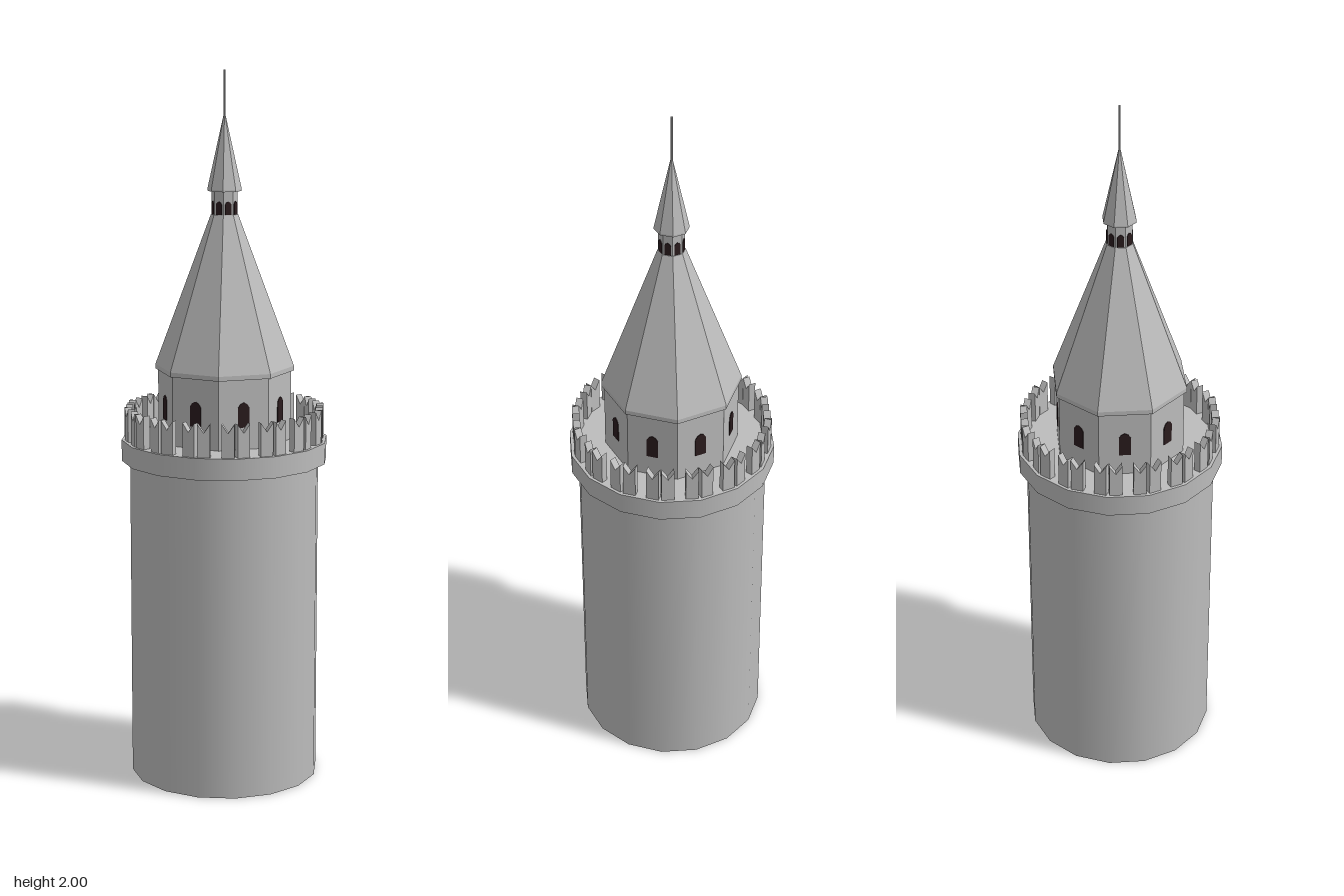
import * as THREE from 'three';

const stone = new THREE.MeshStandardMaterial({ color: 0xbcbcbc, side: THREE.DoubleSide });
stone.name = 'stone';
const dark = new THREE.MeshStandardMaterial({ color: 0x2a1b1d });
dark.name = 'dark opening';

// Regular prism or frustum given by flat-to-centre radii, with a flat side facing +z
function prism(name, sides, top, bottom, y0, y1, { flat = true, open = false } = {}) {
  const k = 1 / Math.cos(Math.PI / sides);
  let geo = new THREE.CylinderGeometry(top * k, bottom * k, y1 - y0, sides, 1, open, Math.PI / sides);
  if (flat) {
    geo = geo.toNonIndexed();
    geo.computeVertexNormals();
  }
  geo.translate(0, (y0 + y1) / 2, 0);
  const mesh = new THREE.Mesh(geo, stone);
  mesh.name = name;
  return mesh;
}

function extrude(points, depth) {
  const shape = new THREE.Shape(points.map(([x, y]) => new THREE.Vector2(x, y)));
  return new THREE.ExtrudeGeometry(shape, { depth, bevelEnabled: false });
}

// Copies of a geometry around the tower, one per side at each sideways offset
function around(name, geo, material, sides, radius, y, offsets = [0]) {
  const group = new THREE.Group();
  group.name = name + 's';
  for (let i = 0; i < sides; i++) {
    const side = new THREE.Group();
    side.name = name + 'Side';
    side.rotation.y = (i / sides) * Math.PI * 2;
    for (const x of offsets) {
      const mesh = new THREE.Mesh(geo, material);
      mesh.name = name;
      mesh.position.set(x, y, radius);
      side.add(mesh);
    }
    group.add(side);
  }
  return group;
}

// Thin plate with a pointed arch
function archPlate(w, h) {
  const a = w / 2;
  return extrude([[-a, 0], [a, 0], [a, h - a * 0.9], [a * 0.6, h - a * 0.3], [0, h],
    [-a * 0.6, h - a * 0.3], [-a, h - a * 0.9]], 0.004);
}

export function createModel() {
  const tower = new THREE.Group();
  tower.name = 'tower';

  // Hollow round shaft and the gallery ring on top of it
  tower.add(prism('shaft', 16, 0.262, 0.262, 0, 0.93, { flat: false, open: true }));
  tower.add(prism('galleryRing', 16, 0.285, 0.285, 0.915, 0.975, { flat: false }));

  // Swallow-tailed merlons, two on each side of the ring
  const merlon = extrude([[-0.0175, 0], [0.0175, 0], [0.0175, 0.093], [0, 0.068], [-0.0175, 0.093]], 0.02);
  tower.add(around('merlon', merlon, stone, 16, 0.257, 0.975, [-0.033, 0.033]));

  // Eight-sided drum with its windows
  tower.add(prism('drum', 8, 0.173, 0.173, 0.97, 1.175));
  tower.add(around('drumWindow', archPlate(0.033, 0.07), dark, 8, 0.171, 1.037));

  // Main roof with a thin eave
  tower.add(prism('eave', 8, 0.18, 0.18, 1.17, 1.183));
  tower.add(prism('mainRoof', 8, 0.035, 0.18, 1.183, 1.605));

  // Lantern with its openings
  tower.add(prism('lantern', 8, 0.033, 0.033, 1.6, 1.675));
  tower.add(around('lanternWindow', archPlate(0.018, 0.037), dark, 8, 0.031, 1.606));

  // Spire and pole
  tower.add(prism('spireEave', 8, 0.044, 0.044, 1.67, 1.675));
  tower.add(prism('spire', 8, 0.001, 0.044, 1.675, 1.885));
  tower.add(prism('pole', 8, 0.003, 0.003, 1.86, 2));

  return tower;
}
